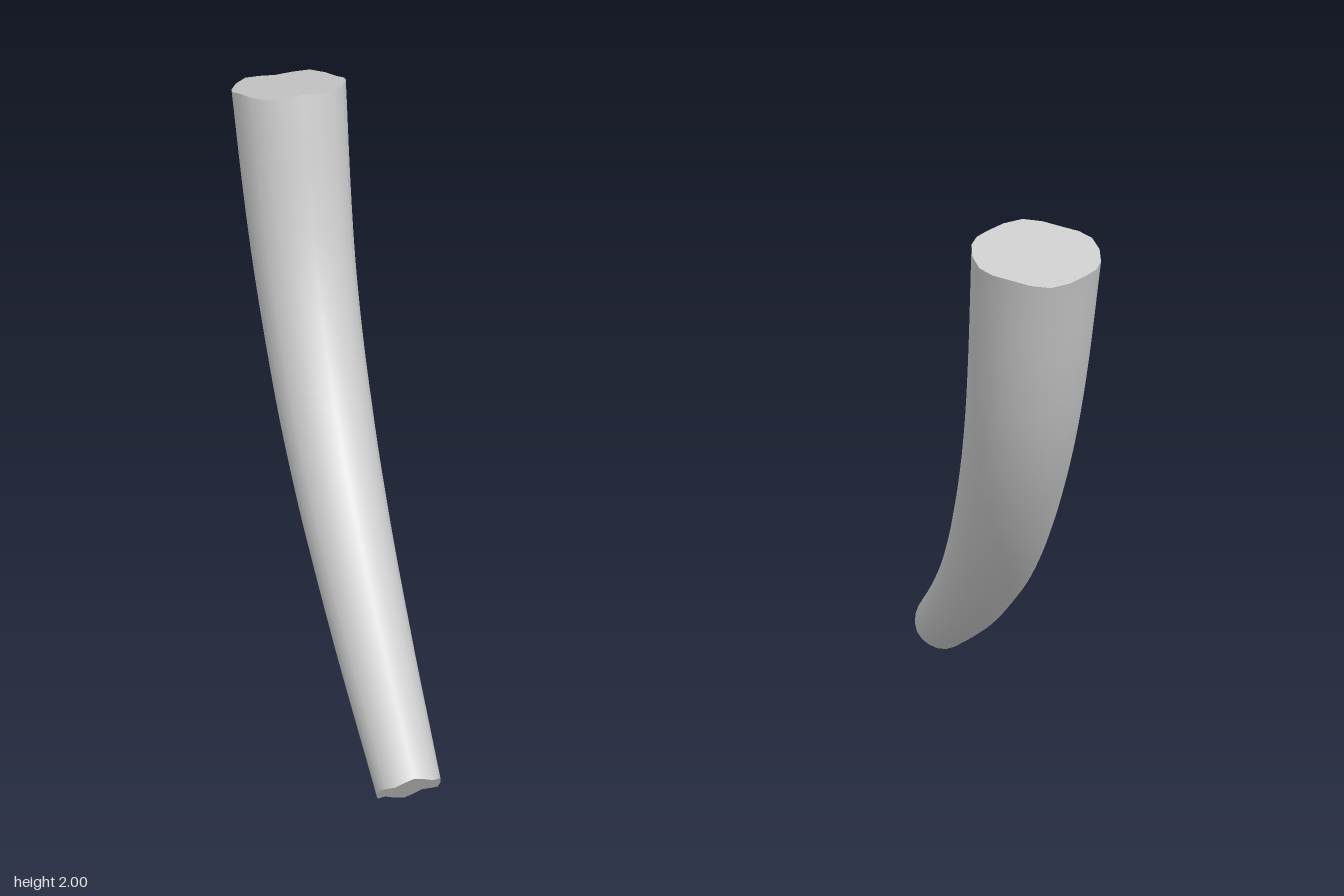
import * as THREE from 'three';

const V = (x, y, z) => new THREE.Vector3(x, y, z);

// Centre line (z, y) and radius from the thin lower end to the thick upper end
const STATIONS = [
  [0.725, 0.095, 0.11],
  [0.32, 0.39, 0.133],
  [-0.01, 0.685, 0.152],
  [-0.205, 0.92, 0.163],
  [-0.35, 1.155, 0.17],
  [-0.45, 1.37, 0.177],
  [-0.525, 1.6, 0.184],
  [-0.608, 1.948, 0.193],
];

// The whole bend lies in one upright plane, slanted across x and z
const SLANT = -0.502;
const curve = new THREE.CatmullRomCurve3(
  STATIONS.map(([z, y]) => V(-0.018 + SLANT * z, y, z)), false, 'centripetal');
const side = V(1, 0, -SLANT).normalize();

function radiusAt(t) {
  const f = t * (STATIONS.length - 1);
  const i = Math.min(Math.floor(f), STATIONS.length - 2);
  return THREE.MathUtils.lerp(STATIONS[i][2], STATIONS[i + 1][2], f - i);
}

// Bends a unit cylinder, caps included, along the centre line
function bentTube(sides, rings) {
  const geo = new THREE.CylinderGeometry(1, 1, 1, sides, rings);
  const pos = geo.attributes.position;
  const nor = geo.attributes.normal;
  const basis = new THREE.Matrix4();
  const p = V(0, 0, 0), n = V(0, 0, 0);
  for (let i = 0; i < pos.count; i++) {
    p.fromBufferAttribute(pos, i);
    n.fromBufferAttribute(nor, i);
    const t = THREE.MathUtils.clamp(p.y + 0.5, 0, 1);
    const tangent = curve.getTangent(t);
    basis.makeBasis(side, tangent, side.clone().cross(tangent));
    // Slightly uneven rims where the ends are cut
    const atRim = (t < 0.001 || t > 0.999) && Math.hypot(p.x, p.z) > 0.5;
    const cut = atRim ? 0.006 * Math.sin(5 * Math.atan2(p.z, p.x)) : 0;
    const r = radiusAt(t);
    p.set(p.x * r, cut, p.z * r).applyMatrix4(basis).add(curve.getPoint(t));
    n.applyMatrix4(basis).normalize();
    pos.setXYZ(i, p.x, p.y, p.z);
    nor.setXYZ(i, n.x, n.y, n.z);
  }
  return geo;
}

export function createModel() {
  const model = new THREE.Group();
  model.name = 'curvedBranch';
  const stem = new THREE.Mesh(
    bentTube(20, 35), new THREE.MeshStandardMaterial({ color: 0xcccccc }));
  stem.name = 'taperedStem';
  model.add(stem);
  return model;
}
